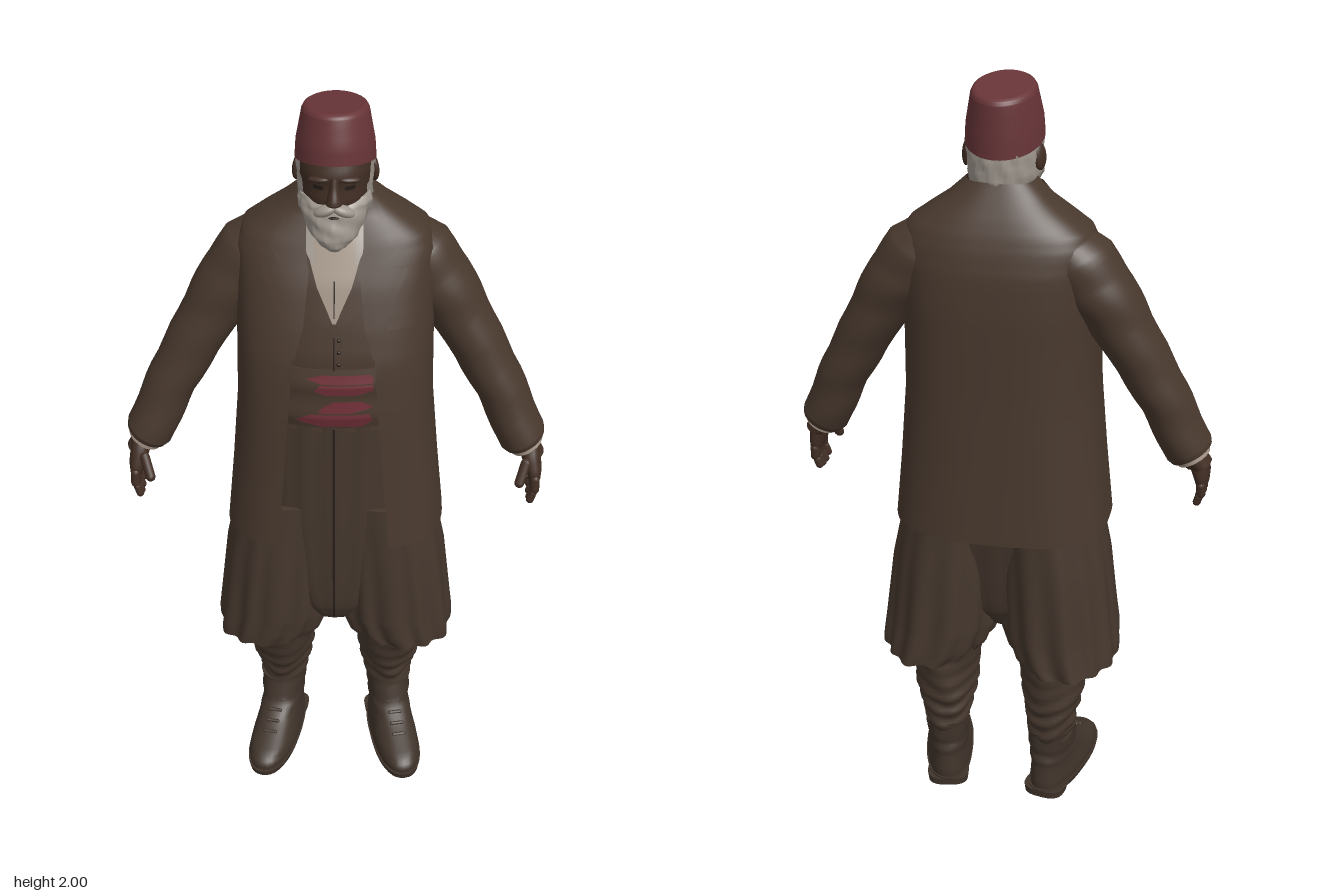
import * as THREE from 'three';

const mat = (name, color, side = THREE.FrontSide) => {
  const m = new THREE.MeshStandardMaterial({ color, side });
  m.name = name;
  return m;
};
const D = THREE.DoubleSide;
const M = {
  coat: mat('coat brown', 0x49392e, D), trousers: mat('trouser brown', 0x45372d, D),
  leather: mat('shoe leather', 0x40342b), skin: mat('skin', 0x422f25, D),
  felt: mat('hat red', 0x683538), sash: mat('sash red', 0x702f38, D),
  hair: mat('grey hair', 0xa0988f, D), shirt: mat('shirt linen', 0xa19284, D),
  dark: mat('dark trim', 0x271e19, D),
};

// A row is [y, halfWidth, zFront, zBack, centreX = 0, tilt = 0], listed from bottom to top.
const mix = (a, b, t) => [0, 1, 2, 3, 4, 5].map((i) => (a[i] || 0) * (1 - t) + (b[i] || 0) * t);
function rowAt(rows, y) {
  let i = 0;
  while (i < rows.length - 2 && y > rows[i + 1][0]) i++;
  return mix(rows[i], rows[i + 1], THREE.MathUtils.clamp((y - rows[i][0]) / (rows[i + 1][0] - rows[i][0]), 0, 1));
}

// Skins superellipse rows (p front, pBack behind); gap gives the angle left open either side of the front.
function loft(rows, { p = 1, pBack = p, seg = 40, sub = 3, wave = () => 0, gap = null } = {}) {
  const pos = [], idx = [], rings = [];
  for (let i = 0; i < rows.length - 1; i++)
    for (let k = 0; k < sub; k++) rings.push(mix(rows[i], rows[i + 1], k / sub));
  rings.push(mix(rows.at(-1), rows.at(-1), 0));
  const cols = gap ? seg + 1 : seg;
  for (const [y, w, zf, zb, cx, tilt] of rings) {
    const a0 = gap ? gap(y, w) : 0;
    for (let j = 0; j < cols; j++) {
      const a = a0 + (2 * Math.PI - 2 * a0) * j / seg, s = 1 + wave(a, y);
      const e = Math.cos(a) < 0 ? pBack : p;
      const pw = (v) => Math.sign(v) * Math.abs(v) ** e;
      const z = pw(Math.cos(a)) * (zf - zb) / 2 * s + (zf + zb) / 2;
      pos.push(cx + pw(Math.sin(a)) * w * s, y + tilt * z, z);
    }
  }
  for (let i = 0; i < rings.length - 1; i++)
    for (let j = 0; j < seg; j++) {
      const a = i * cols + j, b = i * cols + (j + 1) % cols;
      idx.push(a, b, b + cols, a, b + cols, a + cols);
    }
  if (!gap) for (const top of [false, true]) {
    const from = top ? (rings.length - 1) * cols : 0, base = pos.length / 3;
    const c = [0, 0, 0];
    for (let j = 0; j < cols; j++) for (let k = 0; k < 3; k++) {
      const v = pos[(from + j) * 3 + k];
      pos.push(v);
      c[k] += v / cols;
    }
    pos.push(...c);
    for (let j = 0; j < cols; j++) {
      const a = base + j, b = base + (j + 1) % cols;
      idx.push(base + cols, top ? a : b, top ? b : a);
    }
  }
  return build(pos, idx);
}
function build(pos, idx) {
  const g = new THREE.BufferGeometry();
  g.setAttribute('position', new THREE.Float32BufferAttribute(pos, 3));
  g.setIndex(idx);
  g.computeVertexNormals();
  return g;
}

// Thin cloth laid on the front of a loft; outline rows are [y, xLeft, xRight].
function patch(rows, p, outline, off = 0.006) {
  const pos = [], idx = [], n = 6, sub = 5;
  const last = (outline.length - 1) * sub;
  for (let r = 0; r <= last; r++) {
    const i = Math.min(Math.floor(r / sub), outline.length - 2), o = mix(outline[i], outline[i + 1], r / sub - i);
    const [, w, zf, zb] = rowAt(rows, o[0]);
    for (let j = 0; j <= n; j++) {
      const x = o[1] + (o[2] - o[1]) * j / n, u = Math.min(1, Math.abs(x) / w);
      pos.push(x, o[0], (zf + zb) / 2 + (zf - zb) / 2 * (1 - u ** (2 / p)) ** (p / 2) + off);
      if (r < last && j < n) {
        const a = r * (n + 1) + j;
        idx.push(a, a + 1, a + n + 2, a, a + n + 2, a + n + 1);
      }
    }
  }
  return build(pos, idx);
}

export function createModel() {
  const root = new THREE.Group();
  root.name = 'standingMan';
  const add = (name, geo, m, parent = root, at = [0, 0, 0], rot = [0, 0, 0], size = [1, 1, 1]) => {
    const o = new THREE.Mesh(geo, m);
    o.name = name;
    o.position.set(...at); o.rotation.set(...rot); o.scale.set(...size);
    parent.add(o);
    return o;
  };
  const ball = new THREE.SphereGeometry(1, 20, 14);
  const left = new THREE.Group();
  left.name = 'leftSide';
  root.add(left);

  // Coat, open down the front
  const CP = 0.68;
  const coat = [[0.82, 0.285, 0.215, -0.21], [1, 0.268, 0.207, -0.205], [1.2, 0.252, 0.2, -0.202], [1.35, 0.25, 0.183, -0.202],
    [1.45, 0.25, 0.155, -0.202], [1.55, 0.25, 0.12, -0.195], [1.61, 0.25, 0.092, -0.18], [1.65, 0.232, 0.074, -0.165],
    [1.685, 0.185, 0.058, -0.147], [1.72, 0.135, 0.042, -0.125], [1.765, 0.086, 0.03, -0.095]];
  const edge = (y) => (y < 1.4 ? 0.1 + (1.4 - y) * 0.075 : 0.1 - (y - 1.4) * 0.08);
  add('coat', loft(coat, { p: CP, pBack: 0.76, seg: 72, gap: (y, w) => Math.asin((edge(y) / w) ** (1 / CP)),
    wave: (a, y) => 0.012 * Math.max(0, 1.25 - y) * Math.sin(a * 9) }), M.coat);
  add('lapel', patch(coat, CP, [[1.38, 0.097, 0.103], [1.46, 0.075, 0.125], [1.59, 0.062, 0.18], [1.605, 0.065, 0.135],
    [1.64, 0.07, 0.16], [1.7, 0.07, 0.125], [1.745, 0.07, 0.095]], 0.009), M.coat, left);
  add('hipPocket', patch(coat, CP, [[1.02, 0.2, 0.245], [1.06, 0.19, 0.245], [1.085, 0.2, 0.235]], 0.009), M.coat, left);
  add('breastPocket', patch(coat, CP, [[1.445, 0.13, 0.2], [1.47, 0.13, 0.2]], 0.009), M.coat);

  // Waistcoat, shirt front and sash
  const vest = [[1.15, 0.22, 0.158, -0.17], [1.35, 0.215, 0.153, -0.17], [1.45, 0.21, 0.13, -0.17], [1.55, 0.2, 0.1, -0.16],
    [1.62, 0.18, 0.07, -0.145], [1.68, 0.1, 0.045, -0.12]];
  add('waistcoat', loft(vest, { p: 0.85 }), M.coat);
  add('shirtFront', patch(vest, 0.85, [[1.455, -0.004, 0.004], [1.54, -0.042, 0.042], [1.62, -0.066, 0.066], [1.68, -0.075, 0.075]], 0.007), M.shirt);
  add('shirtPlacket', patch(vest, 0.85, [[1.47, -0.0015, 0.0015], [1.56, -0.0015, 0.0015]], 0.009), M.dark);
  add('collarPoint', patch(vest, 0.85, [[1.6, 0.05, 0.056], [1.64, 0.052, 0.078], [1.675, 0.05, 0.085]], 0.016), M.hair, left);
  add('waistcoatLapel', patch(vest, 0.85, [[1.42, 0.002, 0.012], [1.48, 0.014, 0.05], [1.56, 0.05, 0.075], [1.62, 0.066, 0.08]], 0.0095), M.coat, left);
  add('waistcoatSeam', patch(vest, 0.85, [[1.33, -0.002, 0.002], [1.42, -0.002, 0.002]], 0.004), M.dark);
  for (let i = 0; i < 3; i++) add('waistcoatButton', ball, M.dark, root, [0.012, 1.35 + i * 0.03, 0.156 - i * 0.008], [0, 0, 0], [0.005, 0.005, 0.004]);
  const sash = [[1.165, 0.22, 0.16, -0.17], [1.2, 0.225, 0.169, -0.17], [1.25, 0.222, 0.163, -0.17], [1.29, 0.225, 0.168, -0.17], [1.335, 0.22, 0.157, -0.17]];
  add('sash', loft(sash, { p: 0.85 }), M.coat);
  for (const o of [[[1.3, -0.03, 0.1], [1.313, -0.07, 0.1], [1.324, -0.03, 0.09]], [[1.268, -0.02, 0.06], [1.28, -0.05, 0.1], [1.297, -0.035, 0.1]],
    [[1.215, -0.04, 0.04], [1.23, -0.03, 0.1], [1.248, 0.0, 0.07]], [[1.172, -0.03, 0.07], [1.19, -0.1, 0.1], [1.211, -0.06, 0.09]]])
    add('sashStripe', patch(sash, 0.85, o, 0.005), M.sash);

  // Baggy trousers: a waist, then a wide pleated skirt-like leg each side
  const waist = [[0.49, 0.04, 0.09, -0.05], [0.52, 0.085, 0.125, -0.09], [0.57, 0.14, 0.145, -0.12], [0.66, 0.19, 0.152, -0.14], [0.85, 0.22, 0.158, -0.175], [1.17, 0.22, 0.158, -0.17]];
  add('trouserWaist', loft(waist, { p: 0.85, seg: 88, wave: (a) => 0.014 * Math.cos(a * 22) }), M.trousers);
  add('frontSeam', patch(waist, 0.85, [[0.53, -0.003, 0.003], [0.66, -0.003, 0.003], [1.16, -0.003, 0.003]], 0.005), M.dark);
  add('trouserLeg', loft([[0.432, 0.132, 0.155, -0.205, 0.188, 0.06], [0.46, 0.146, 0.158, -0.204, 0.174, 0.05], [0.52, 0.154, 0.16, -0.2, 0.159, 0.02],
    [0.7, 0.148, 0.16, -0.195, 0.146], [0.9, 0.13, 0.155, -0.185, 0.125]], { p: 0.8, pBack: 1, seg: 96, sub: 4,
    wave: (a, y) => Math.min(0.45, 0.93 - y) * (0.09 * Math.cos(a * 13 + Math.sin(a * 3)) + 0.04 * Math.sin(a * 7 + 1)) }), M.trousers, left);
  add('gatheredCalf', loft([[0.17, 0.056, 0.01, -0.135, 0.148], [0.2, 0.062, 0.02, -0.142, 0.147], [0.25, 0.07, 0.035, -0.148, 0.147],
    [0.3, 0.083, 0.058, -0.155, 0.15], [0.38, 0.09, 0.085, -0.158, 0.15], [0.46, 0.1, 0.1, -0.16, 0.142], [0.52, 0.1, 0.1, -0.16, 0.13]],
  { seg: 36, sub: 6, wave: (a, y) => 0.06 * Math.sin(y * 130 + 2.2 * Math.sin(a * 2 + 1)) * Math.max(0, 1 - Math.abs(y - 0.24) * 5) + 0.03 * Math.sin(a * 5 + y * 30) }), M.trousers, left);

  // Shoes, turned slightly outwards about the ankle
  const shoe = new THREE.Group();
  shoe.name = 'shoe';
  shoe.position.set(0.148, 0, -0.06);
  shoe.rotation.y = 0.2;
  left.add(shoe);
  add('shoeUpper', loft([[0.015, 0.062, 0.272, -0.08], [0.04, 0.064, 0.272, -0.082], [0.06, 0.061, 0.25, -0.08], [0.08, 0.057, 0.2, -0.078],
    [0.105, 0.054, 0.14, -0.076], [0.135, 0.056, 0.1, -0.076], [0.2, 0.062, 0.078, -0.078]],
  { p: 0.85, wave: (a, y) => (y > 0.1 ? 0.04 * Math.sin(y * 130 + Math.sin(a)) : 0) }), M.leather, shoe);
  add('sole', loft([[0.008, 0.064, 0.276, -0.085], [0.024, 0.067, 0.28, -0.086]], { p: 0.85 }), M.leather, shoe);
  add('heel', loft([[0, 0.055, 0.01, -0.084], [0.02, 0.058, 0.015, -0.086]], { p: 0.7 }), M.leather, shoe);
  for (let i = 0; i < 4; i++) add('lace', new THREE.CapsuleGeometry(0.005, 0.03, 4, 8), M.leather, shoe, [0, 0.088 + i * 0.016, 0.178 - i * 0.029], [0, 0, Math.PI / 2]);

  // Sleeve and shirt cuff
  const arm = new THREE.Group();
  arm.name = 'arm';
  arm.position.set(0.2, 1.57, 0);
  arm.rotation.z = 0.51;
  left.add(arm);
  add('sleeve', loft([[-0.605, 0.058, 0.073, -0.067], [-0.59, 0.064, 0.079, -0.074], [-0.43, 0.066, 0.06, -0.1, 0.016], [-0.22, 0.075, 0.045, -0.132, 0.019],
    [-0.1, 0.088, 0.045, -0.15, 0.013], [0, 0.093, 0.045, -0.157, 0.001], [0.05, 0.075, 0.035, -0.145, -0.01], [0.08, 0.035, 0, -0.1, -0.02]],
  { sub: 5, wave: (a, y) => 0.025 * Math.sin(y * 42 + 2 * Math.sin(a)) * (y < -0.05 ? 1 : 0) }), M.coat, arm);
  add('shirtCuff', loft([[-0.622, 0.046, 0.062, -0.048], [-0.59, 0.048, 0.062, -0.05]]), M.shirt, arm);
  add('wrist', loft([[-0.655, 0.028, 0.058, -0.02, 0.005], [-0.6, 0.032, 0.05, -0.03]]), M.skin, arm);

  // Hand with slightly curled fingers
  const hand = new THREE.Group();
  hand.name = 'hand';
  hand.position.set(0.515, 1.0, 0.025);
  hand.rotation.set(-0.1, 0, 0.12);
  left.add(hand);
  add('palm', loft([[-0.055, 0.017, 0.055, -0.038, 0.004], [-0.03, 0.022, 0.057, -0.04, 0.004], [0.01, 0.026, 0.047, -0.036], [0.045, 0.025, 0.032, -0.03]], { p: 0.85, seg: 24 }), M.skin, hand);
  for (let i = 0; i < 4; i++) {
    const z = -0.03 + i * 0.026, len = [0.024, 0.032, 0.035, 0.03][i];
    add('finger', new THREE.CapsuleGeometry(0.0125, len, 4, 10), M.skin, hand, [0.003, -0.063, z], [0, 0, -0.1]);
    add('fingertip', new THREE.CapsuleGeometry(0.0105, len * 0.7, 4, 10), M.skin, hand, [-0.008, -0.075 - len * 0.75, z], [0, 0, -0.45]);
  }
  add('thumb', new THREE.CapsuleGeometry(0.013, 0.055, 4, 10), M.skin, hand, [-0.026, -0.022, 0.055], [-0.4, 0, -0.4]);

  // Head, ears and face
  const HP = 0.9;
  const head = [[1.6, 0.06, 0.03, -0.08], [1.7, 0.064, 0.05, -0.083], [1.74, 0.074, 0.11, -0.086], [1.78, 0.083, 0.124, -0.09],
    [1.82, 0.087, 0.122, -0.094], [1.85, 0.089, 0.128, -0.097], [1.9, 0.085, 0.11, -0.095]];
  add('head', loft(head, { p: HP }), M.skin);
  add('nose', loft([[1.778, 0.012, 0.135, 0.1], [1.787, 0.021, 0.156, 0.1], [1.8, 0.017, 0.153, 0.1], [1.825, 0.011, 0.139, 0.1], [1.85, 0.011, 0.13, 0.1]], { seg: 20 }), M.skin);
  add('ear', ball, M.skin, left, [0.092, 1.815, -0.01], [0, 0.4, 0.1], [0.012, 0.035, 0.022]);
  add('eye', patch(head, HP, [[1.816, 0.027, 0.048], [1.822, 0.024, 0.052], [1.828, 0.029, 0.048]], 0.003), M.dark, left);
  add('eyebrow', ball, M.skin, left, [0.038, 1.843, 0.117], [0, 0.3, -0.1], [0.027, 0.008, 0.012]);

  // Hair, sideburns, beard and moustache
  const tuft = (a, y) => 0.03 * Math.sin(a * 15 + y * 60) + 0.025 * Math.sin(y * 140 + a * 4);
  add('hair', loft([[1.735, 0.075, 0.09, -0.088], [1.77, 0.09, 0.112, -0.097], [1.82, 0.093, 0.122, -0.1], [1.865, 0.092, 0.12, -0.099]],
    { p: HP, gap: (y) => 0.85 + (y - 1.735) * 2.5, wave: tuft }), M.hair);
  add('beard', loft([[1.655, 0.016, 0.13, 0.085], [1.668, 0.036, 0.142, 0.06], [1.69, 0.058, 0.147, 0.03], [1.72, 0.073, 0.142, 0], [1.75, 0.085, 0.136, -0.02],
    [1.768, 0.088, 0.129, -0.02], [1.785, 0.088, 0.11, -0.02]], { sub: 5, wave: tuft }), M.hair);
  add('moustache', ball, M.hair, left, [0.022, 1.766, 0.128], [0, 0.35, -0.45], [0.031, 0.014, 0.02]);
  add('mouth', ball, M.dark, root, [0, 1.75, 0.136], [0, 0, 0], [0.013, 0.003, 0.006]);

  // Shirt collar
  add('shirtCollar', loft([[1.64, 0.088, 0.066, -0.1], [1.7, 0.08, 0.065, -0.092]], { gap: () => 0.35, wave: tuft }), M.shirt);

  // Tilted felt hat, tapering to a flat crown
  add('hat', loft([[1.853, 0.099, 0.13, -0.108, 0, 0.23], [1.9, 0.096, 0.126, -0.109, 0, 0.2], [1.975, 0.082, 0.107, -0.108, 0, 0.13],
    [1.984, 0.077, 0.1, -0.103, 0, 0.12], [1.988, 0.07, 0.092, -0.095, 0, 0.12]], { seg: 48 }), M.felt);

  // Mirror the left side to make the right
  root.updateMatrixWorld(true);
  const right = new THREE.Group();
  right.name = 'rightSide';
  left.traverse((o) => {
    if (!o.isMesh) return;
    const g = o.geometry.clone().applyMatrix4(o.matrixWorld).scale(-1, 1, 1), ix = g.index.array;
    for (let i = 0; i < ix.length; i += 3) [ix[i], ix[i + 1]] = [ix[i + 1], ix[i]];
    add(o.name, g, o.material, right);
  });
  root.add(right);
  return root;
}
